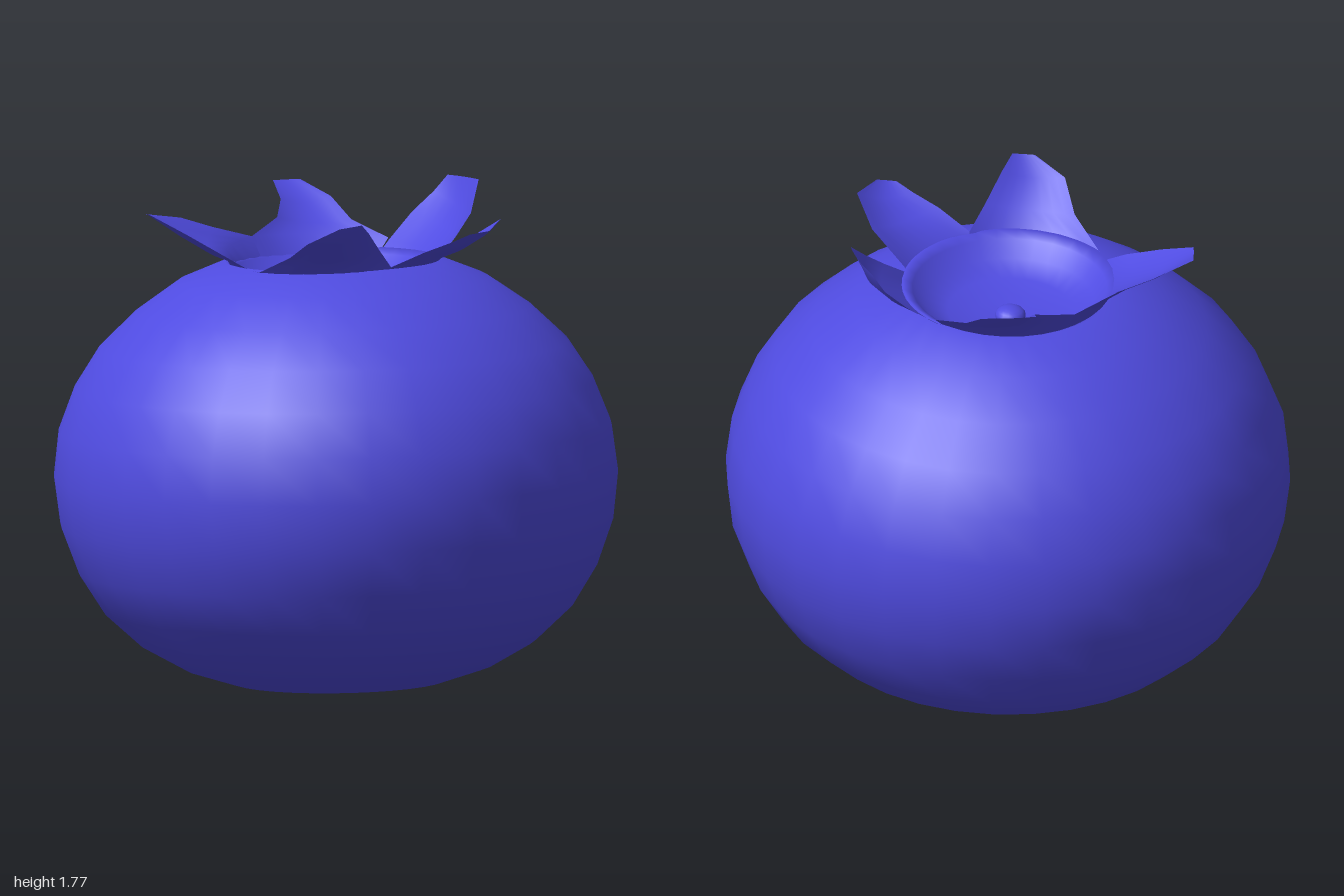
import * as THREE from 'three';

const material = new THREE.MeshStandardMaterial({ color: 0x4f4be0, side: THREE.DoubleSide });

// Sheet between left and right edge points [x, y, z], each row swept as an arc around the y axis
function petal(rows, cup, name) {
  const cols = 8, pos = [], idx = [];
  rows.forEach(([l, r], i) => {
    const al = Math.atan2(l[2], l[0]), rl = Math.hypot(l[0], l[2]), rr = Math.hypot(r[0], r[2]);
    let da = Math.atan2(r[2], r[0]) - al;
    if (da > Math.PI) da -= 2 * Math.PI;
    if (da < -Math.PI) da += 2 * Math.PI;
    for (let j = 0; j <= cols; j++) {
      const t = j / cols, a = al + da * t, d = rl + (rr - rl) * t;
      // middle of the petal is hollowed between its raised edges
      const dip = i > 1 && i < rows.length - 1 ? cup * Math.sin(Math.PI * t) : 0;
      pos.push(Math.cos(a) * d, l[1] + (r[1] - l[1]) * t - dip, Math.sin(a) * d);
    }
  });
  const w = cols + 1;
  for (let i = 0; i < rows.length - 1; i++)
    for (let j = 0; j < cols; j++) {
      const k = i * w + j;
      idx.push(k, k + w, k + 1, k + 1, k + w, k + w + 1);
    }
  const geo = new THREE.BufferGeometry();
  geo.setAttribute('position', new THREE.Float32BufferAttribute(pos, 3));
  geo.setIndex(idx);
  geo.computeVertexNormals();
  const mesh = new THREE.Mesh(geo, material);
  mesh.name = name;
  return mesh;
}

export function createModel() {
  const model = new THREE.Group();
  model.name = 'blueberry';

  // Berry skin, running over the rim into the shallow crater
  const profile = [
    [0, 0.01], [0.2, 0.012], [0.38, 0.03], [0.55, 0.085], [0.7, 0.17], [0.83, 0.29], [0.92, 0.435],
    [0.98, 0.6], [1, 0.77], [0.98, 0.935], [0.92, 1.09], [0.83, 1.23], [0.7, 1.355], [0.55, 1.46],
    [0.38, 1.53], [0.345, 1.51], [0.3, 1.455], [0.22, 1.42], [0.12, 1.41], [0.05, 1.4], [0, 1.4],
  ].map(([r, y]) => new THREE.Vector2(r, y - 0.77));
  const berry = new THREE.Group();
  berry.name = 'berry';
  berry.position.y = 0.77;
  berry.rotation.x = -0.04;
  const skin = new THREE.Mesh(new THREE.LatheGeometry(profile, 32, Math.PI / 32), material);
  skin.name = 'skin';
  const nub = new THREE.Mesh(new THREE.SphereGeometry(0.055, 16, 10), material);
  nub.name = 'nub';
  nub.position.set(0, 0.635, -0.01);
  nub.scale.y = 0.6;
  berry.add(skin, nub);
  model.add(berry);

  // Crown: each petal gives its edges from the notch level to the tip
  const petals = {
    backPetal: [0.02, [
      [[-0.15, 1.57, -0.39], [0.33, 1.55, -0.28]],
      [[-0.02, 1.62, -0.46], [0.25, 1.60, -0.42]],
      [[0.03, 1.67, -0.54], [0.22, 1.67, -0.53]],
      [[0.05, 1.72, -0.65], [0.15, 1.72, -0.64]]]],
    leftPetal: [0.02, [
      [[0.33, 1.54, -0.28], [0.34, 1.53, 0.13]],
      [[0.44, 1.63, -0.32], [0.43, 1.60, 0.08]],
      [[0.52, 1.70, -0.31], [0.51, 1.67, 0.03]],
      [[0.56, 1.76, -0.28], [0.59, 1.77, -0.08]]]],
    frontLeftPetal: [0.03, [
      [[0.34, 1.54, 0.15], [0.06, 1.55, 0.34]],
      [[0.43, 1.64, 0.27], [0.15, 1.61, 0.43]],
      [[0.45, 1.71, 0.42], [0.23, 1.65, 0.49]],
      [[0.35, 1.69, 0.54], [0.28, 1.68, 0.53]]]],
    frontRightPetal: [0.02, [
      [[0.06, 1.55, 0.34], [-0.36, 1.53, 0.14]],
      [[-0.01, 1.62, 0.40], [-0.31, 1.60, 0.29]],
      [[-0.09, 1.70, 0.48], [-0.31, 1.67, 0.44]],
      [[-0.14, 1.74, 0.53], [-0.22, 1.73, 0.52]]]],
    rightPetal: [0.03, [
      [[-0.37, 1.53, 0.06], [-0.15, 1.57, -0.39]],
      [[-0.43, 1.57, 0.01], [-0.32, 1.62, -0.35]],
      [[-0.53, 1.64, -0.11], [-0.44, 1.66, -0.36]],
      [[-0.62, 1.70, -0.23], [-0.60, 1.69, -0.31]]]],
  };
  const crown = new THREE.Group();
  crown.name = 'crown';
  // Foot of the petal, tucked just under the rim
  const foot = ([x, , z]) => {
    const s = 0.355 / Math.hypot(x, z);
    return [x * s, 1.49, z * s - 0.02];
  };
  for (const [name, [cup, rows]] of Object.entries(petals)) {
    crown.add(petal([rows[0].map(foot), ...rows], cup, name));
  }
  // Short wall closing the gap between the right and front right petals
  crown.add(petal([
    [[-0.35, 1.49, 0.12], [-0.36, 1.49, 0.04]],
    [[-0.36, 1.53, 0.14], [-0.37, 1.53, 0.06]]], 0, 'collarLink'));
  model.add(crown);
  return model;
}
